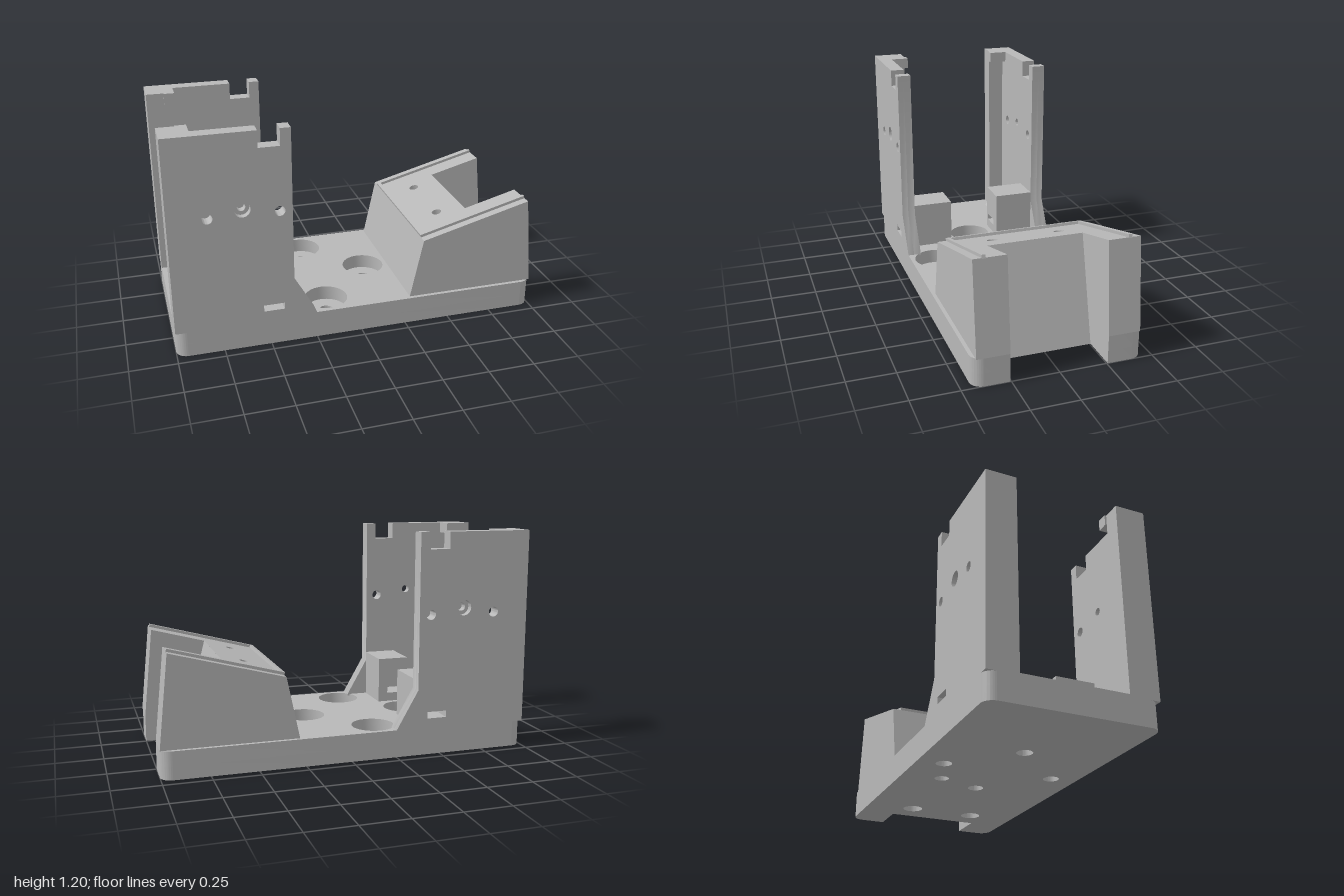
import * as THREE from 'three';
import { toCreasedNormals } from 'three/addons/utils/BufferGeometryUtils.js';

export function createModel() {
  const model = new THREE.Group();
  const grey = new THREE.MeshStandardMaterial({ color: 0xb8b8b8, side: THREE.DoubleSide });
  grey.name = 'plain grey';

  const add = (name, geometry, parent = model) => {
    const mesh = new THREE.Mesh(geometry, grey);
    mesh.name = name;
    parent.add(mesh);
    return mesh;
  };
  const outline = (pts) => new THREE.Shape(pts.map(([x, y]) => new THREE.Vector2(x, y)));
  const hole = (shape, x, y, r) => shape.holes.push(new THREE.Path().absarc(x, y, r, 0, Math.PI * 2, true));
  const slot = (shape, x0, x1, y0, y1) =>
    shape.holes.push(new THREE.Path([[x0, y0], [x0, y1], [x1, y1], [x1, y0]].map((p) => new THREE.Vector2(...p))));
  const extrude = (shape, depth) =>
    toCreasedNormals(new THREE.ExtrudeGeometry(shape, { depth, bevelEnabled: false, curveSegments: 20 }), 0.6);
  // side profile in x and y, swept from z0 to z1
  const sweepZ = (shape, z0, z1) => extrude(shape, z1 - z0).translate(0, 0, z0);
  // the same, on the chosen side of the model
  const sweepSide = (shape, side, inner, outer) =>
    side > 0 ? sweepZ(shape, inner, outer) : sweepZ(shape, -outer, -inner);
  const box = (x0, x1, y0, y1, z0, z1) =>
    new THREE.BoxGeometry(x1 - x0, y1 - y0, Math.abs(z1 - z0)).translate((x0 + x1) / 2, (y0 + y1) / 2, (z0 + z1) / 2);

  // Base: two layers, so that the screw holes are counterbored
  const W = 0.445, R = 0.06, FLOOR = 0.15, STEP = 0.07, GAP = 0.255;
  const baseShape = () => {
    const s = new THREE.Shape();
    s.moveTo(-1 + R, -W);
    s.lineTo(1 - R, -W);
    s.absarc(1 - R, -W + R, R, -Math.PI / 2, 0, false);
    s.lineTo(1, -GAP);
    s.lineTo(0.74, -GAP);
    s.lineTo(0.74, GAP);
    s.lineTo(1, GAP);
    s.absarc(1 - R, W - R, R, 0, Math.PI / 2, false);
    s.lineTo(-1 + R, W);
    s.absarc(-1 + R, W - R, R, Math.PI / 2, Math.PI, false);
    s.lineTo(-1, -W + R);
    s.absarc(-1 + R, -W + R, R, Math.PI, Math.PI * 1.5, false);
    return s;
  };
  const screws = [[-0.47, 0], [0.14, 0], [-0.165, 0.305], [-0.165, -0.305]];
  const lower = baseShape(), upper = baseShape();
  for (const [x, z] of screws) {
    hole(lower, x, z, 0.042);
    hole(upper, x, z, 0.117);
  }
  for (const z of [-0.183, 0.183]) {
    hole(lower, 0.65, z, 0.055);
    hole(upper, 0.615, z, 0.035);
  }
  hole(lower, 0.06, 0.23, 0.038);
  add('baseLower', extrude(lower, STEP).rotateX(-Math.PI / 2));
  add('baseUpper', extrude(upper, FLOOR - STEP).rotateX(-Math.PI / 2).translate(0, STEP, 0));
  add('baseNotchFill', sweepZ(outline([[0.74, 0], [0.8, 0], [0.761, FLOOR], [0.74, FLOOR]]), -GAP, GAP));

  // Tower walls
  const wallShape = (boreRadius) => {
    const s = outline([[-1, 0.14], [-0.25, 0.14], [-0.25, FLOOR], [-0.37, 0.36], [-0.37, 1.2], [-0.425, 1.2],
      [-0.425, 1.11], [-0.535, 1.11], [-0.535, 1.2], [-1, 1.2]]);
    hole(s, -0.8, 0.765, 0.027);
    hole(s, -0.435, 0.765, 0.027);
    hole(s, -0.625, 0.795, boreRadius);
    slot(s, -0.535, -0.425, 0.2, 0.236);
    return s;
  };
  const blockShape = outline([[-0.55, FLOOR], [-0.37, FLOOR], [-0.37, 0.41], [-0.55, 0.41]]);
  slot(blockShape, -0.535, -0.425, 0.2, 0.236);

  for (const side of [1, -1]) {
    const tower = new THREE.Group();
    tower.name = side > 0 ? 'leftTower' : 'rightTower';
    model.add(tower);
    add('wallOuter', sweepSide(wallShape(0.042), side, 0.41, W), tower);
    add('wallInner', sweepSide(wallShape(0.022), side, 0.37, 0.41), tower);
    add('rearFlange', box(-1, -0.907, 0.14, 1.2, side * 0.28, side * 0.37), tower);
    add('topTab', box(-0.907, -0.85, 1.14, 1.2, side * 0.27, side * 0.37), tower);
    add('slottedBlock', sweepSide(blockShape, side, 0.145, 0.37), tower);
    // sloping fillet between floor and wall
    const fillet = outline([[side * 0.25, FLOOR], [side * 0.37, FLOOR], [side * 0.37, 0.27]]);
    add('floorFillet', extrude(fillet, 0.357).rotateY(-Math.PI / 2).scale(1, 1, 1).translate(-0.55, 0, 0), tower);
  }

  // Sloping cradle: a cheek on each side of the notch
  const cradle = new THREE.Group();
  cradle.name = 'cradle';
  model.add(cradle);
  const cheek = outline([[0.28, FLOOR], [1, FLOOR], [0.95, 0.64], [0.35, 0.48]]);
  for (const side of [1, -1]) add('cheek', sweepSide(cheek, side, GAP, 0.425), cradle);

  // Middle faces of the cradle, between the cheeks
  const face = (x0, y0, x1, y1, dir) => {
    const g = new THREE.BufferGeometry();
    const a = [x0, y0, dir * GAP], b = [x0, y0, -dir * GAP], c = [x1, y1, -dir * GAP], d = [x1, y1, dir * GAP];
    g.setAttribute('position', new THREE.Float32BufferAttribute([a, b, c, a, c, d].flat(), 3));
    g.computeVertexNormals();
    return g;
  };
  add('cradleFrontFace', face(0.28, FLOOR, 0.35, 0.48, -1), cradle);
  add('cradleNotchFace', face(0.761, FLOOR, 0.655, 0.561, 1), cradle);

  // Tilted top with two screw holes and a raised ridge
  const top = new THREE.Group();
  top.name = 'cradleTop';
  top.position.set(0.35, 0.48, 0);
  top.rotation.z = Math.atan2(0.16, 0.6);
  cradle.add(top);
  const topShape = outline([[0, -GAP], [0.3157, -GAP], [0.3157, GAP], [0, GAP]]);
  for (const z of [-0.183, 0.183]) {
    hole(topShape, 0.171, z, 0.027);
    add('screwBore', new THREE.CylinderGeometry(0.027, 0.027, 0.4, 32, 1, true).translate(0.171, -0.2, z), top);
  }
  add('topFace', new THREE.ShapeGeometry(topShape, 20).rotateX(-Math.PI / 2), top);
  for (const side of [1, -1]) add('sideRidge', box(0, 0.621, -0.004, 0.015, side * 0.36, side * 0.38), top);
  add('frontRidge', box(0, 0.02, -0.004, 0.015, -0.36, 0.36), top);

  return model;
}
